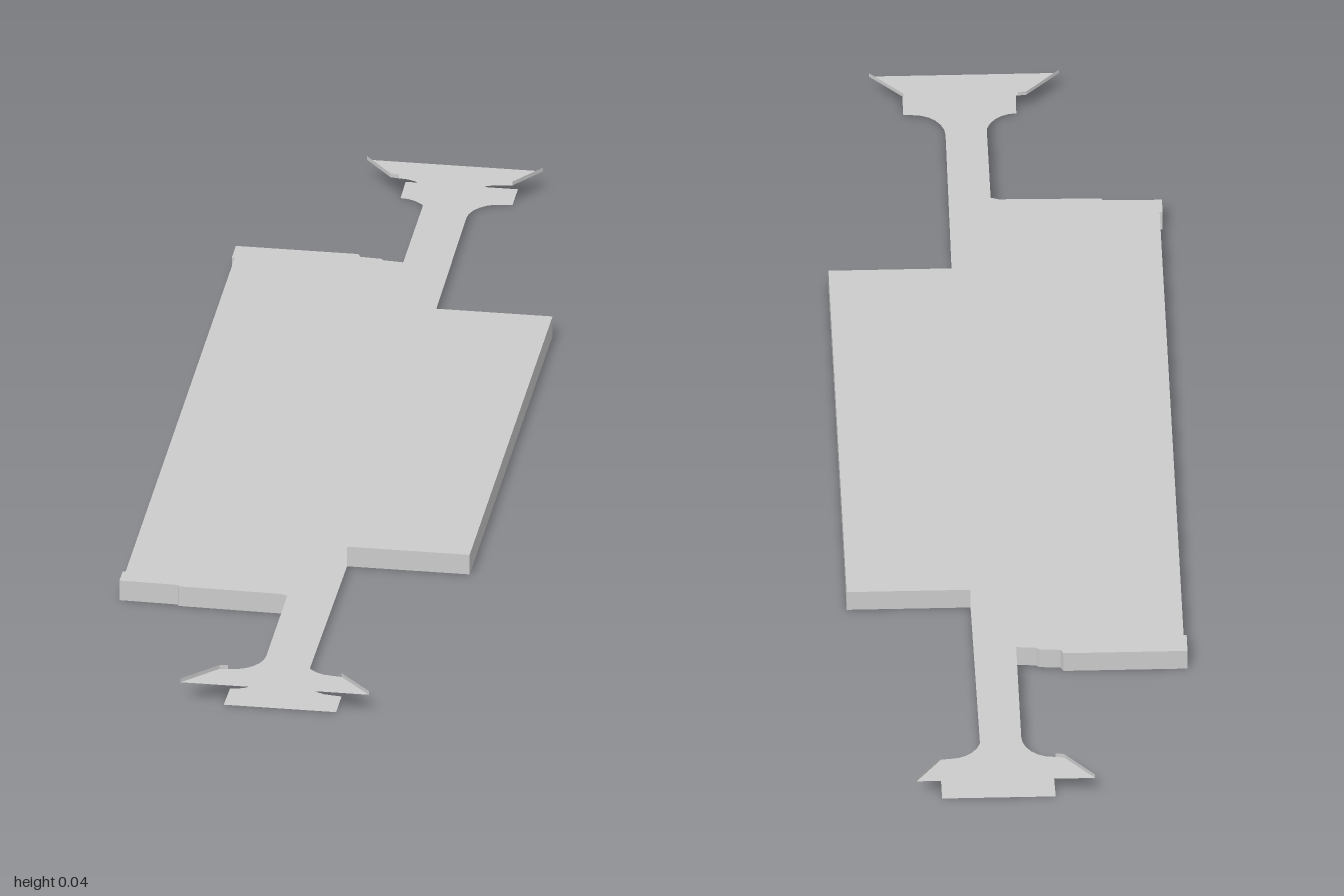
import * as THREE from 'three';

const material = new THREE.MeshStandardMaterial({ color: 0xcccccc, side: THREE.DoubleSide, flatShading: true });
const TOP = 0.036, LIP = 0.043;

// Flat sheet from an outline of [x, z] points
function sheet(name, points, y) {
  const shape = new THREE.Shape(points.map(([x, z]) => new THREE.Vector2(x, -z)));
  const geometry = new THREE.ShapeGeometry(shape).rotateX(-Math.PI / 2).translate(0, y, 0);
  const mesh = new THREE.Mesh(geometry, material);
  mesh.name = name;
  return mesh;
}

// Upright band following an open line of [x, z] points
function wall(name, points, y0, y1) {
  const positions = [], index = [];
  points.forEach(([x, z], i) => {
    positions.push(x, y0, z, x, y1, z);
    if (i) {
      const a = 2 * i - 2;
      index.push(a, a + 2, a + 1, a + 1, a + 2, a + 3);
    }
  });
  const geometry = new THREE.BufferGeometry();
  geometry.setAttribute('position', new THREE.Float32BufferAttribute(positions, 3));
  geometry.setIndex(index);
  const flat = geometry.toNonIndexed();
  flat.computeVertexNormals();
  const mesh = new THREE.Mesh(flat, material);
  mesh.name = name;
  return mesh;
}

// Rounded fillet from the strip edge out to the foot of the flare
function fillet(edge, side, end) {
  const points = [];
  for (let i = 0; i <= 6; i++) {
    const a = (i / 6) * Math.PI / 2;
    points.push([edge + side * 0.052 * (1 - Math.cos(a)), end * (0.88 + 0.058 * Math.sin(a))]);
  }
  return points;
}

// Strip end: left (-x) edge outward, across the tip, back along the +x edge
function stripEnd(end, wide) {
  const [x0, x1] = end > 0 ? [-0.122, 0.193] : [-0.115, 0.18];
  const tip = wide
    ? [[-0.066, end * 0.94], [x0, end], [x1, end], [0.138, end * 0.94]]
    : [[-0.05, end], [0.138, end], [0.138, end * 0.94]];
  return [...fillet(0.003, -1, end), ...tip, ...fillet(0.07, 1, end).reverse()];
}

export function createModel() {
  const model = new THREE.Group();
  model.name = 'platform';

  // Slab sides: the broad -x half and the shorter +x half
  const broadSide = [
    [0.003, -0.625], [-0.03, -0.628], [-0.035, -0.633], [-0.07, -0.635], [-0.075, -0.645],
    [-0.28, -0.645], [-0.28, -0.6], [-0.275, -0.6], [-0.275, 0.6], [-0.28, 0.6],
    [-0.28, 0.635], [-0.182, 0.637], [-0.18, 0.642], [-0.01, 0.645], [0.003, 0.65],
  ];
  const shortSide = [[0.073, 0.452], [0.278, 0.452], [0.278, -0.46], [0.073, -0.46]];

  // Upper and lower sheets, joined only around the slab
  for (const [name, y, wide] of [['topSheet', TOP, true], ['bottomSheet', 0, false]]) {
    const outline = [...broadSide, ...stripEnd(1, wide), ...shortSide, ...stripEnd(-1, wide).reverse()];
    model.add(sheet(name, outline, y));
  }
  model.add(wall('broadSideWall', [...broadSide, [0.007, 0.67]], 0, TOP));
  model.add(wall('shortSideWall', shortSide, 0, TOP));

  // Small raised lips on the slanted edges of the flared ends
  for (const end of [1, -1]) {
    const [x0, x1] = end > 0 ? [-0.122, 0.193] : [-0.115, 0.18];
    model.add(wall('rightLip', [[x0, end], [-0.066, end * 0.94], [-0.052, end * 0.938]], TOP, LIP));
    model.add(wall('leftLip', [[x1, end], [0.138, end * 0.94]], TOP, LIP));
  }
  return model;
}
